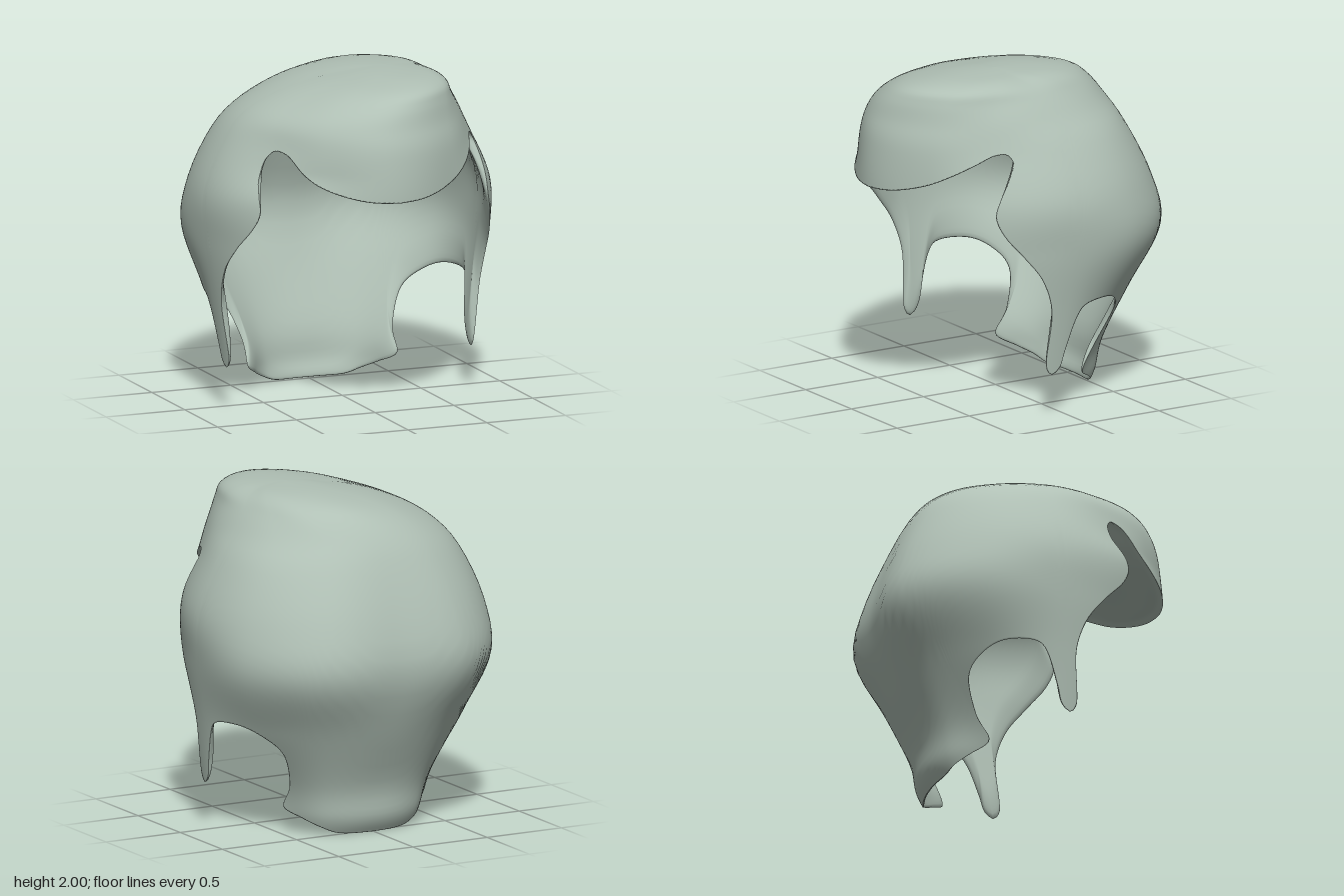
import * as THREE from 'three';

// Height, x shift, z shift of each ring, then its radius every 30 degrees from front (0) to back (180)
const RINGS = [
  [0, 0, 0, .5, .55, .68, .74, .52, .54, .53],
  [.1, 0, 0, .52, .57, .7, .755, .55, .585, .58],
  [.3, 0, 0, .65, .7, .76, .78, .62, .63, .61],
  [.65, 0, 0, .8, .8, .82, .83, .8, .79, .765],
  [1, 0, 0, .85, .85, .86, .88, .95, .965, .885],
  [1.3, 0, 0, .885, .84, .86, .88, .91, .905, .835],
  [1.6, 0, 0, .86, .81, .75, .75, .77, .755, .72],
  [1.76, .01, 0, .81, .76, .68, .635, .63, .635, .63],
  [1.87, .07, .03, .73, .665, .555, .5, .5, .54, .56],
  [1.94, .145, .08, .61, .535, .425, .365, .385, .44, .49],
  [1.98, .21, .12, .41, .345, .26, .21, .245, .3, .34],
  [1.995, .21, .14, .19, .16, .12, .1, .12, .15, .18],
  [2, .21, .14, 0, 0, 0, 0, 0, 0, 0],
];

// Hem of one half: angle, height, and the angle at which its strand reaches the crown
const HEM = [
  [0, 1.335, 0], [13, 1.35, 13], [29, 1.41, 29], [40, 1.48, 40], [50, 1.55, 50], [57, 1.595, 57],
  [62.5, 1.6, 62.5], [65.5, 1.55, 68], [63, 1.45, 74], [59.6, 1.35, 77], [57.8, 1.25, 80], // temple notch
  [61.5, 1.13, 82], [69, 1, 84], [76.6, .85, 87], [81, .65, 89],                           // side lock
  [79.8, .3, 90.5], [82.5, .255, 92], [86, .29, 93.5], [88.5, .4, 95],                     // sideburn
  [93.5, .6, 98], [97, .66, 102], [110, .675, 114], [120.5, .62, 128],                     // ear arch
  [129, .5, 142], [128.5, .3, 149], [122.5, .15, 156],                                     // nape corner
  [135, .09, 158], [146, .045, 163], [158, .006, 169], [180, 0, 180],
];

const { clamp, smoothstep, degToRad } = THREE.MathUtils;
const TOP = RINGS.length - 1;

function spline(a, b, c, d, f) {
  return b + .5 * f * (c - a + f * (2 * a - 5 * b + 4 * c - d + f * (3 * (b - c) + d - a)));
}

// Smooth value of one ring column at level t
function column(t, k) {
  const i = Math.min(Math.floor(t), TOP - 1);
  const at = (j) => RINGS[clamp(j, 0, TOP)][k];
  return spline(at(i - 1), at(i), at(i + 1), at(i + 2), t - i);
}

function levelAt(y) {
  let lo = 0, hi = TOP;
  for (let i = 0; i < 40; i++) {
    const mid = (lo + hi) / 2;
    if (column(mid, 0) < y) lo = mid; else hi = mid;
  }
  return (lo + hi) / 2;
}

// Point of the outer hair surface; angle in degrees from the front towards +x
function outerPoint(angle, t) {
  const a = Math.abs(angle) / 30, i = Math.min(Math.floor(a), 5);
  const at = (j) => column(t, 3 + (j < 0 ? -j : j > 6 ? 12 - j : j));
  let r = Math.max(0, spline(at(i - 1), at(i), at(i + 1), at(i + 2), a - i));
  const y = column(t, 0), rad = degToRad(angle);
  // The fringe is flatter on the -x side
  if (angle < 0 && angle > -90) r *= 1 - .05 * Math.sin(2 * rad) ** 2 * smoothstep(y, 1.3, 1.5);
  return new THREE.Vector3(column(t, 1) + r * Math.sin(rad), y, column(t, 2) + r * Math.cos(rad));
}

// Lining: a little inside the outer surface, with a low ceiling that slopes up behind the fringe
function innerPoint(angle, t, v, hemY) {
  const p = outerPoint(angle, t);
  const s = Math.sqrt(Math.min(1, v / .05));
  const facing = Math.cos(degToRad(angle));
  const front = smoothstep(facing, .45, .9) * (1 - smoothstep(v, .4, 1));
  const back = smoothstep(-facing, 0, .7) * (1 - smoothstep(v, .7, 1));
  const k = 1 - .055 * s - .6 * front * smoothstep(v, 0, .2) - .07 * back * smoothstep(p.y, .8, 1.4);
  const ceiling = 1.64 - .16 * front;
  const base = clamp(hemY, 1.3, ceiling - .04), cap = ceiling - base;
  const rise = (y) => 1 - Math.exp((base - y) / cap);
  const low = p.y < base ? p.y : base + cap * (rise(p.y) / rise(2)) ** (1 + front);
  p.x *= k;
  p.z *= k;
  p.y += (low - p.y) * smoothstep(v, 0, .08 - .04 * front);
  return p;
}

function hairGeometry() {
  const curve = new THREE.CatmullRomCurve3(
    HEM.map(([a, y, c]) => new THREE.Vector3(a / 30, levelAt(y), c / 30)), false, 'centripetal');
  const half = curve.getSpacedPoints(170);
  // The lock and notch on the -x side sit slightly further forward
  const mirrored = half.slice(1, -1).reverse().map((p) => {
    const shift = (.05 * smoothstep(p.y, 4, 4.8) + .17 * smoothstep(p.y, 5.3, 6)) * smoothstep(p.x, 1, 1.8);
    return new THREE.Vector3(shift - p.x, p.y, shift - p.z);
  });
  const hem = [...half, ...mirrored];
  const n = hem.length, rows = 36, positions = [], index = [];

  // Rows run from the lining's crown down to the hem and up the outside
  for (let j = -rows; j <= rows; j++) {
    const v = (Math.abs(j) / rows) ** 1.6;
    const turn = 1 - (1 - v) ** 5;
    for (const h of hem) {
      const angle = 30 * (h.x + (h.z - h.x) * turn);
      const t = clamp(h.y + (TOP - h.y) * v, 0, TOP);
      const p = j < 0 ? innerPoint(angle, t, v, column(h.y, 0)) : outerPoint(angle, t);
      positions.push(p.x, p.y, p.z);
    }
  }
  for (let j = 0; j < 2 * rows; j++) {
    for (let i = 0; i < n; i++) {
      const a = j * n + i, b = j * n + (i + 1) % n;
      index.push(a, b, b + n, a, b + n, a + n);
    }
  }
  const g = new THREE.BufferGeometry();
  g.setAttribute('position', new THREE.Float32BufferAttribute(positions, 3));
  g.setIndex(index);
  g.computeVertexNormals();
  return g;
}

export function createModel() {
  const group = new THREE.Group();
  group.name = 'hairpiece';
  const material = new THREE.MeshStandardMaterial({ color: 0xb0c0b5, side: THREE.DoubleSide });
  const hair = new THREE.Mesh(hairGeometry(), material);
  hair.name = 'hairShell';
  group.add(hair);
  return group;
}
